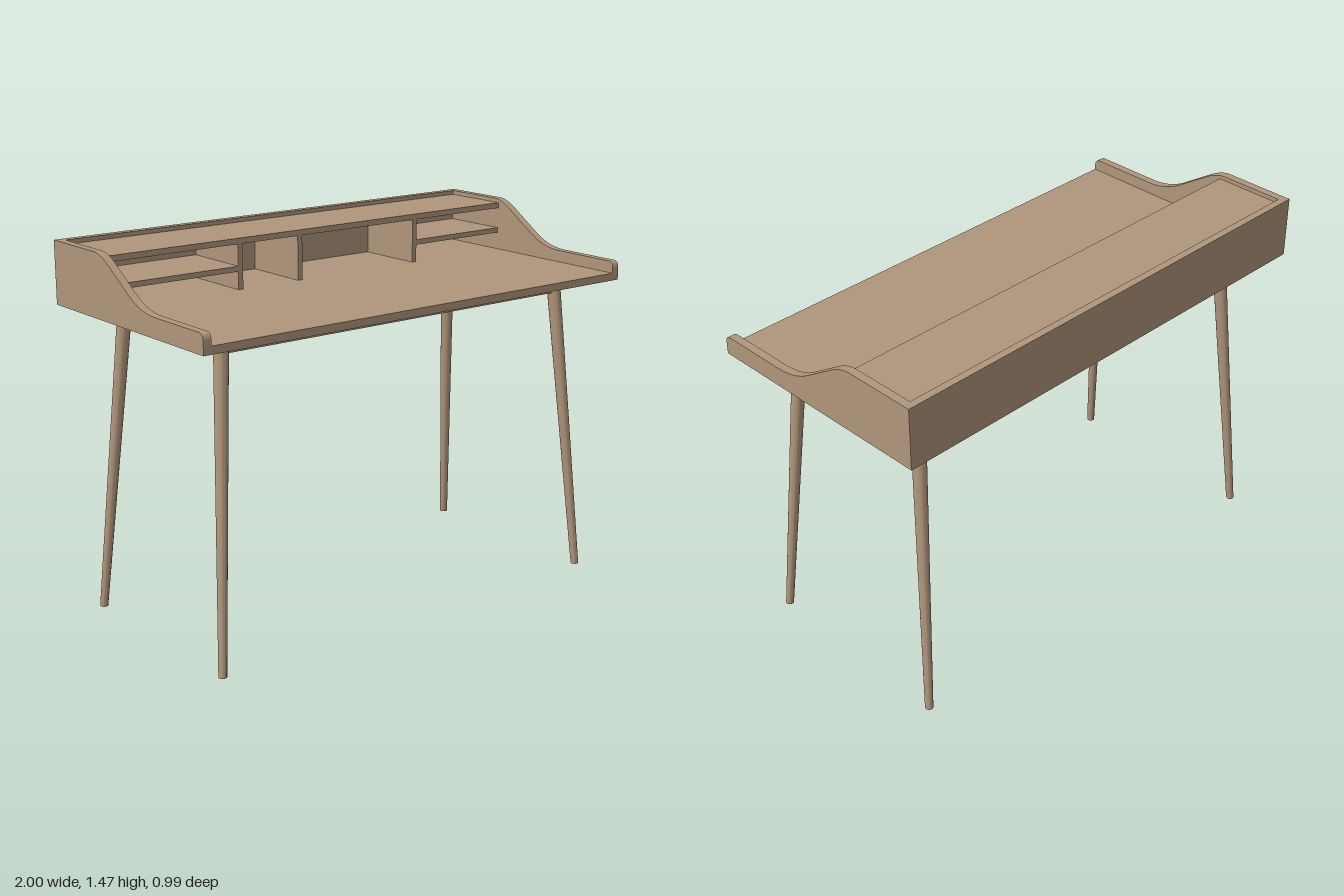
import * as THREE from 'three';
import { toCreasedNormals } from 'three/addons/utils/BufferGeometryUtils.js';

export function createModel() {
  const desk = new THREE.Group();
  desk.name = 'writingDesk';
  const wood = new THREE.MeshStandardMaterial({ color: 0xb1967c });
  wood.name = 'wood';

  const add = (name, geometry) => {
    const mesh = new THREE.Mesh(geometry, wood);
    mesh.name = name;
    desk.add(mesh);
    return mesh;
  };
  // Box given by its limits on each axis
  const box = (name, x0, x1, y0, y1, z0, z1) =>
    add(name, new THREE.BoxGeometry(x1 - x0, y1 - y0, z1 - z0))
      .position.set((x0 + x1) / 2, (y0 + y1) / 2, (z0 + z1) / 2);

  const floor = 1.223, top = 1.47, low = 1.3; // heights of the desk body
  const depth = 0.497, thick = 0.033, inner = 1 - thick;
  const deskTop = 1.253, shelfFront = -0.175, backInner = -0.467;

  // Side panels: low at the front, sweeping up to the back
  const profile = new THREE.Shape();
  profile.moveTo(-depth, floor);
  profile.lineTo(depth, floor);
  profile.lineTo(depth, low - 0.027);
  profile.quadraticCurveTo(depth, low, depth - 0.027, low);
  profile.lineTo(0.2, low);
  profile.quadraticCurveTo(0.104, low, 0.03, 1.348);
  profile.lineTo(-0.1, 1.432);
  profile.quadraticCurveTo(-0.158, top, -0.2, top);
  profile.lineTo(-depth, top);
  profile.closePath();
  const panel = toCreasedNormals(
    new THREE.ExtrudeGeometry(profile, { depth: thick, bevelEnabled: false, curveSegments: 16 })
      .rotateY(-Math.PI / 2), 0.6);
  add('leftSidePanel', panel).position.x = 1;
  add('rightSidePanel', panel).position.x = -inner;

  // Worktop, back and upper shelf
  box('worktop', -inner, inner, floor, deskTop, -depth, depth);
  box('backPanel', -inner, inner, deskTop, top, -depth, backInner);
  box('upperShelf', -inner, inner, 1.43, 1.453, backInner, shelfFront);

  // Compartment dividers and small shelves
  for (const x of [-0.38, -0.096, 0.494])
    box('divider', x - 0.011, x + 0.011, deskTop, 1.43, backInner, shelfFront);
  box('rightSmallShelf', -inner, -0.391, 1.324, 1.345, backInner, shelfFront);
  box('leftSmallShelf', 0.505, inner, 1.324, 1.345, backInner, shelfFront);

  // Apron rails joining the legs
  const legX = 0.81, legZ = 0.32;
  for (const s of [-1, 1]) {
    box(s > 0 ? 'frontRail' : 'backRail', -legX, legX, 1.168, floor, s * legZ - 0.015, s * legZ + 0.015);
    box(s > 0 ? 'leftRail' : 'rightRail', s * legX - 0.015, s * legX + 0.015, 1.168, floor, -legZ, legZ);
  }

  // Tapered legs, sheared outwards so that both ends stay level
  for (const sx of [-1, 1]) for (const sz of [-1, 1]) {
    const leg = new THREE.CylinderGeometry(0.028, 0.016, floor, 24);
    leg.translate(0, floor / 2, 0);
    const p = leg.attributes.position;
    for (let i = 0; i < p.count; i++) {
      const t = 1 - p.getY(i) / floor;
      p.setX(i, p.getX(i) + sx * (legX + 0.09 * t));
      p.setZ(i, p.getZ(i) + sz * (legZ + 0.098 * t));
    }
    add((sz > 0 ? 'front' : 'back') + (sx > 0 ? 'Left' : 'Right') + 'Leg', toCreasedNormals(leg, 0.6));
  }
  return desk;
}
